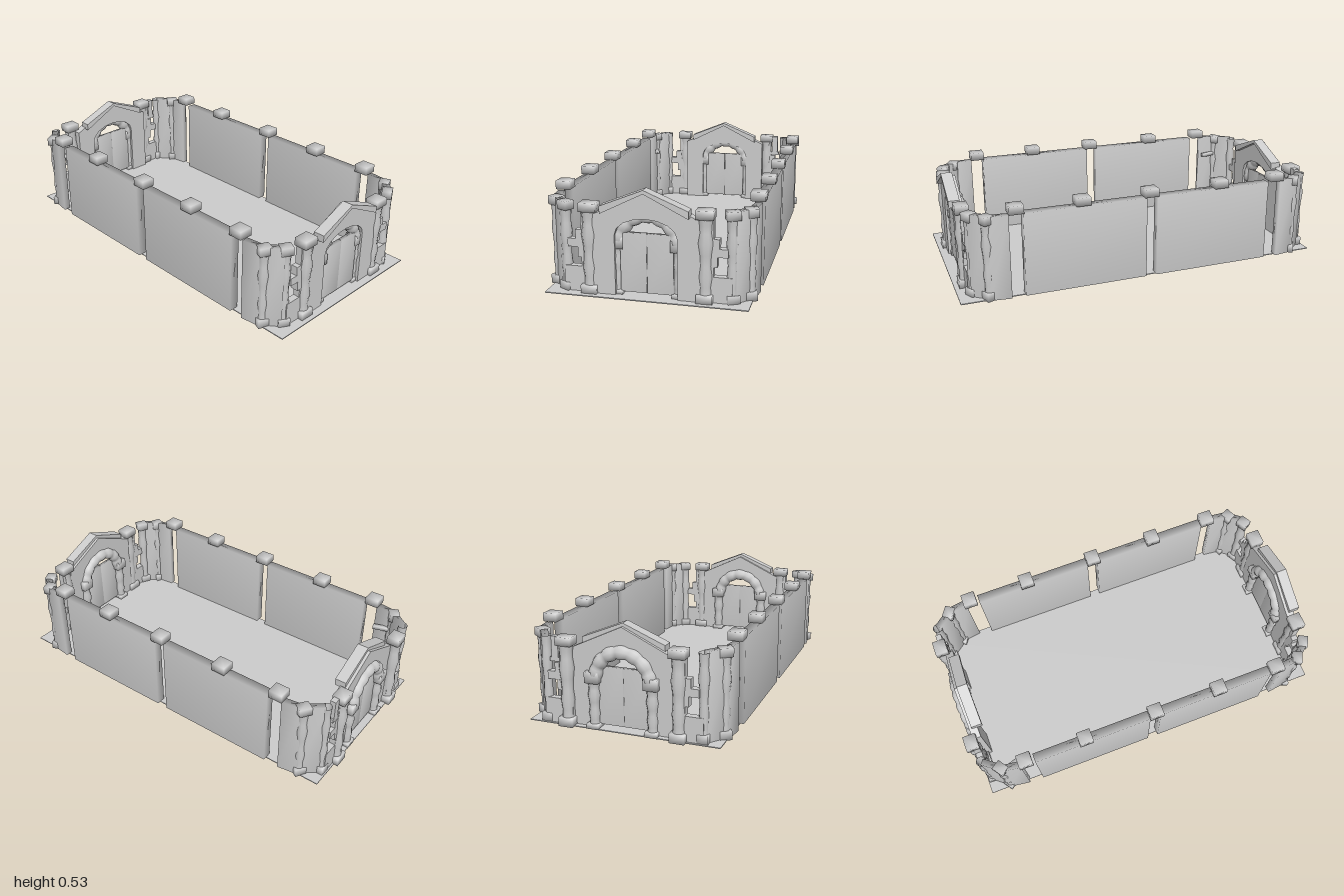
import * as THREE from 'three';
import { mergeVertices } from 'three/addons/utils/BufferGeometryUtils.js';

const mat = new THREE.MeshStandardMaterial({ color: 0xcccccc, side: THREE.DoubleSide });

function add(parent, name, geo, x = 0, y = 0, z = 0, ry = 0) {
  const m = new THREE.Mesh(geo, mat);
  m.name = name;
  m.position.set(x, y, z);
  m.rotation.y = ry;
  parent.add(m);
  return m;
}

// Box with averaged corner normals, for a worn, soft look
function softBox(w, h, d) {
  const g = new THREE.BoxGeometry(w, h, d);
  g.deleteAttribute('normal');
  g.deleteAttribute('uv');
  const s = mergeVertices(g);
  s.computeVertexNormals();
  return s;
}

// Extruded outline centred on z = 0
function slab(points, depth) {
  const shape = new THREE.Shape(points.map(p => new THREE.Vector2(p[0], p[1])));
  const g = new THREE.ExtrudeGeometry(shape, { depth, bevelEnabled: false });
  return g.translate(0, 0, -depth / 2);
}

// Knobbly column: base block, wavy shaft, optional cap block
function column(name, x, z, r, h, ry = 0, cap = 0) {
  const g = new THREE.Group();
  g.name = name;
  const k = [[0.1, 0.85], [0.2, 0.78], [0.32, 0.95], [0.45, 0.78], [0.58, 0.85], [0.72, 1.05], [0.84, 0.85], [0.93, 0.9], [1, 1]];
  add(g, 'shaft', new THREE.LatheGeometry(k.map(([t, s]) => new THREE.Vector2(r * s, h * t)), 10));
  add(g, 'base', softBox(2.1 * r, h * 0.11, 2.1 * r), 0, h * 0.055);
  if (cap) add(g, 'cap', softBox(cap, 0.042, cap * 0.85), 0, h + 0.021);
  g.position.set(x, 0, z);
  g.rotation.y = ry;
  return g;
}

// Straight wall between two ground points [x, z]
function wallRun(parent, name, a, b, h, t = 0.035) {
  const dx = b[0] - a[0], dz = b[1] - a[1];
  add(parent, name, softBox(Math.hypot(dx, dz), h, t),
    (a[0] + b[0]) / 2, h / 2, (a[1] + b[1]) / 2, -Math.atan2(dz, dx));
}

// Gatehouse: gabled wall, roof, doors and a stone arch on the -z side
function gate(name) {
  const g = new THREE.Group();
  g.name = name;
  const outline = [[-0.26, 0], [-0.26, 0.39], [0, 0.512], [0.26, 0.39], [0.26, 0], [0.15, 0], [0.15, 0.3]];
  for (let i = 1; i < 8; i++) {
    const a = i * Math.PI / 8;
    outline.push([0.15 * Math.cos(a), 0.3 + 0.085 * Math.sin(a)]);
  }
  outline.push([-0.15, 0.3], [-0.15, 0]);
  add(g, 'gableWall', slab(outline, 0.045), 0, 0, -0.015);
  add(g, 'gableRoof', slab([[-0.21, 0.405], [-0.21, 0.442], [0, 0.528], [0.21, 0.442], [0.21, 0.405], [0, 0.51]], 0.058), 0, 0, 0.007);
  // Arch stones: a half ring that swells at each stone
  const ring = new THREE.TorusGeometry(0.14, 0.034, 10, 42, Math.PI);
  const p = ring.attributes.position;
  for (let i = 0; i < p.count; i++) {
    const a = Math.atan2(p.getY(i), p.getX(i));
    const s = 0.88 + 0.17 * Math.abs(Math.sin(a * 7));
    const cx = 0.14 * Math.cos(a), cy = 0.14 * Math.sin(a);
    p.setXYZ(i, cx + (p.getX(i) - cx) * s, cy + (p.getY(i) - cy) * s, p.getZ(i) * s);
  }
  ring.computeVertexNormals();
  add(g, 'archRing', ring, 0, 0.25, -0.035);
  for (const s of [-1, 1]) {
    g.add(column('archColumn', s * 0.15, -0.035, 0.03, 0.23));
    add(g, 'archCapital', softBox(0.07, 0.055, 0.065), s * 0.15, 0.2575, -0.035);
    add(g, 'doorLeaf', softBox(0.126, 0.29, 0.022), s * 0.0645, 0.165, -0.02);
  }
  return g;
}

// Broken masonry as [x, y, width, height] blocks
const RUIN = [
  [0.33, 0.065, 0.15, 0.13], [0.298, 0.285, 0.04, 0.31], [0.33, 0.268, 0.03, 0.085],
  [0.355, 0.245, 0.06, 0.04], [0.322, 0.2, 0.025, 0.05],
];

export function createModel() {
  const model = new THREE.Group();
  model.name = 'walledCourtyard';
  add(model, 'ground', new THREE.BoxGeometry(0.98, 0.005, 1.98), 0, 0.0025, 0.01);

  const front = gate('frontGate'), back = gate('backGate');
  front.position.z = 0.95;
  back.position.z = -0.915;
  model.add(front, back);

  for (const s of [-1, 1]) {
    // Long side panels with a row of cap stones
    for (const z of [0.352, -0.355]) add(model, 'sideWall', softBox(0.05, 0.438, 0.648), s * 0.485, 0.223, z);
    for (const z of [0.71, 0.37, 0.005, -0.393, -0.728])
      add(model, 'capStone', softBox(0.072, 0.043, 0.075), s * 0.485, 0.465, z);

    // Front corner
    wallRun(model, 'cornerWall', [s * 0.49, 0.745], [s * 0.478, 0.85], 0.44);
    wallRun(model, 'cornerWall', [s * 0.478, 0.84], [s * 0.41, 0.925], 0.44);
    model.add(column('cornerColumn', s * 0.473, 0.852, 0.028, 0.4, s * 0.4, 0.062));
    model.add(column('cornerColumn', s * 0.4, 0.92, 0.028, 0.4, s * 0.5, 0.062));
    model.add(column('gateColumn', s * 0.278, 0.937, 0.037, 0.403, 0, 0.082));

    // Back corner
    wallRun(model, 'cornerWall', [s * 0.49, -0.755], [s * 0.475, -0.86], 0.44);
    wallRun(model, 'cornerWall', [s * 0.475, -0.85], [s * 0.405, -0.94], 0.44);
    model.add(column('cornerColumn', s * 0.47, -0.86, 0.028, 0.4, -s * 0.6, 0.065));
    model.add(column('cornerColumn', s * 0.4, -0.945, 0.026, 0.435));
    model.add(column('gateColumn', s * 0.285, -0.963, 0.036, 0.403, 0, 0.08));

    // Ruined stretches between the gates and the corners
    for (const z of [0.93, -0.953])
      for (const [x, y, w, h] of RUIN) add(model, 'ruinBlock', new THREE.BoxGeometry(w, h, 0.035), s * x, y, z);
  }
  // Surviving upper stones on the back left stretch
  add(model, 'ruinBeam', new THREE.BoxGeometry(0.07, 0.02, 0.03), 0.335, 0.325, -0.953);
  add(model, 'ruinTopBlock', new THREE.BoxGeometry(0.035, 0.105, 0.03), 0.343, 0.387, -0.953);
  // Loose beam jutting inward from the back right corner
  add(model, 'looseBeam', softBox(0.025, 0.02, 0.1), -0.45, 0.328, -0.81, 0.3);
  return model;
}
